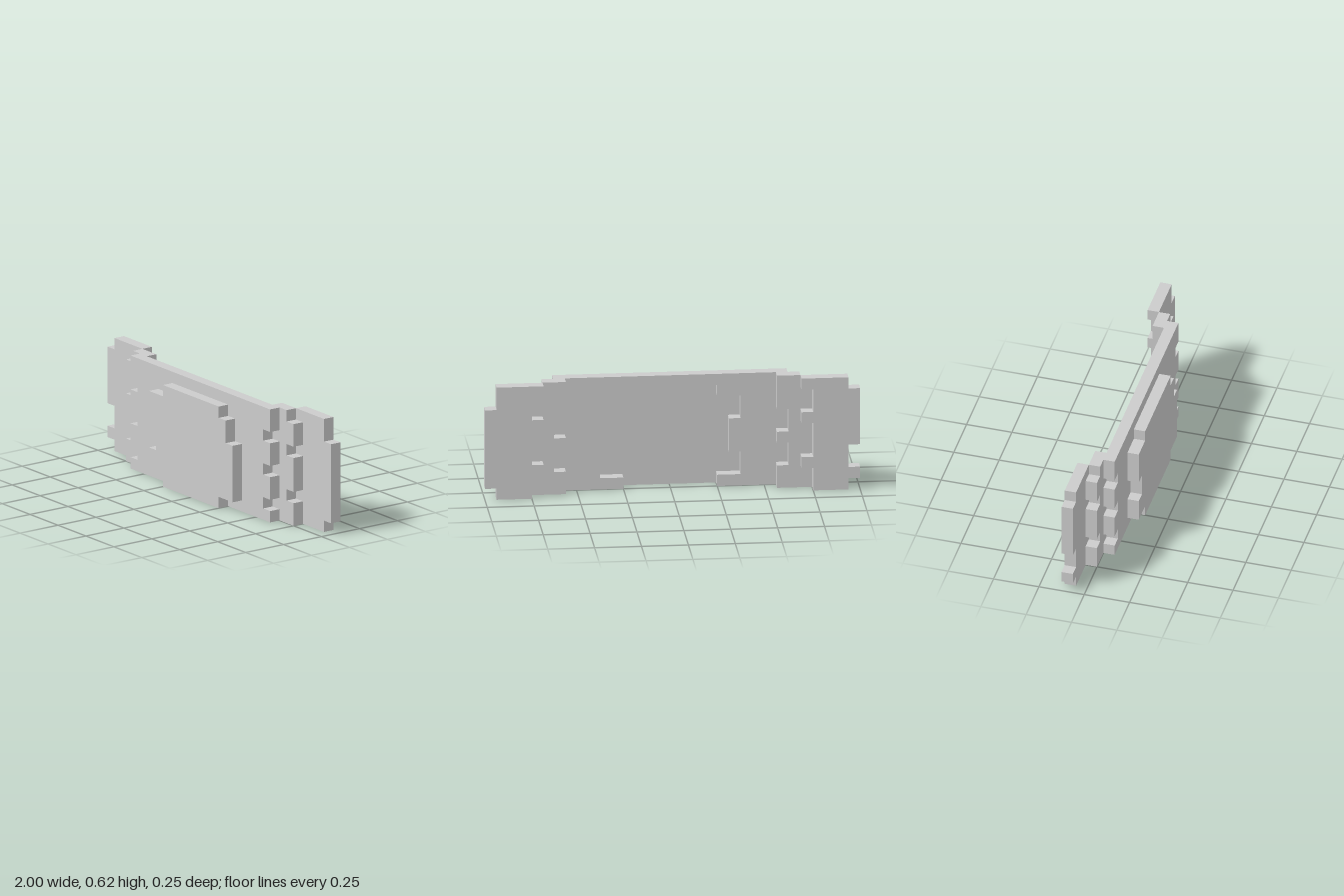
import * as THREE from 'three';

const U = 1 / 16; // one block
const material = new THREE.MeshStandardMaterial({ color: 0xcccccc, flatShading: true });

// Stepped outline from the left and right limits of each row, bottom to top
function outline(lefts, rights, firstRow = 0) {
  const points = [];
  const add = (x, y) => points.push(new THREE.Vector2(x * U, y * U));
  rights.forEach((x, i) => {
    if (x !== rights[i - 1]) add(x, firstRow + i);
    if (x !== rights[i + 1]) add(x, firstRow + i + 1);
  });
  for (let i = lefts.length - 1; i >= 0; i--) {
    if (lefts[i] !== lefts[i + 1]) add(lefts[i], firstRow + i + 1);
    if (lefts[i] !== lefts[i - 1]) add(lefts[i], firstRow + i);
  }
  return points;
}

// One-block-thick slab whose back lies at the given layer
function slab(name, points, layer, hole) {
  const shape = new THREE.Shape(points);
  if (hole) shape.holes.push(new THREE.Path(hole));
  const geometry = new THREE.ExtrudeGeometry(shape, { depth: U, bevelEnabled: false });
  geometry.translate(0, 0, layer * U);
  const mesh = new THREE.Mesh(geometry, material);
  mesh.name = name;
  return mesh;
}

const mirror = (row) => row.map((x) => -x);

export function createModel() {
  const group = new THREE.Group();
  group.name = 'steppedPanel';

  // Raised centre panel
  const panelLeft = [-4, -6, -6, -5, -5, -6, -6, -6, -4];
  const panelRight = [4, 6, 6, 6, 6, 6, 5, 5, 4];
  group.add(slab('centrePanel', outline(panelLeft, panelRight), 1));

  // Main plate with toothed ends; the recess behind the panel is open at the bottom
  const plateEdge = [10, 9, 10, 10, 9, 10, 10, 9, 10, 10];
  const recessLeft = [-4, -6, -6, -5, -5, -5, -6, -6, -4];
  const recessRight = [4, 6, 6, 5, 5, 5, 5, 5, 4];
  const top = 10;
  const half = (edge, recess) => outline([...recess, 0], edge);
  group.add(slab('mainPlateLeft', half(plateEdge, recessRight), 0));
  group.add(slab('mainPlateRight', outline(mirror(plateEdge), [...recessLeft, 0]), 0));

  // Side strips stepping back from the plate
  const stripInner = [9, 9, 10, 10, 9, 10, 10, 9, 9, 9];
  const stripOuter = [12, 12, 11, 12, 12, 12, 11, 12, 12, 11];
  group.add(slab('leftStrip', outline(stripInner, stripOuter), -1));
  group.add(slab('rightStrip', outline(mirror(stripOuter), mirror(stripInner)), -1));

  // Outer wings with notched ends
  const leftEnd = [15, 16, 16, 16, 16, 16, 16, 16, 15, 15];
  const rightEnd = [-15, -16, -15, -15, -16, -16, -16, -16, -16, -15];
  group.add(slab('leftWing', outline(stripOuter, leftEnd), -2));
  group.add(slab('rightWing', outline(rightEnd, mirror(stripOuter)), -2));

  return group;
}
